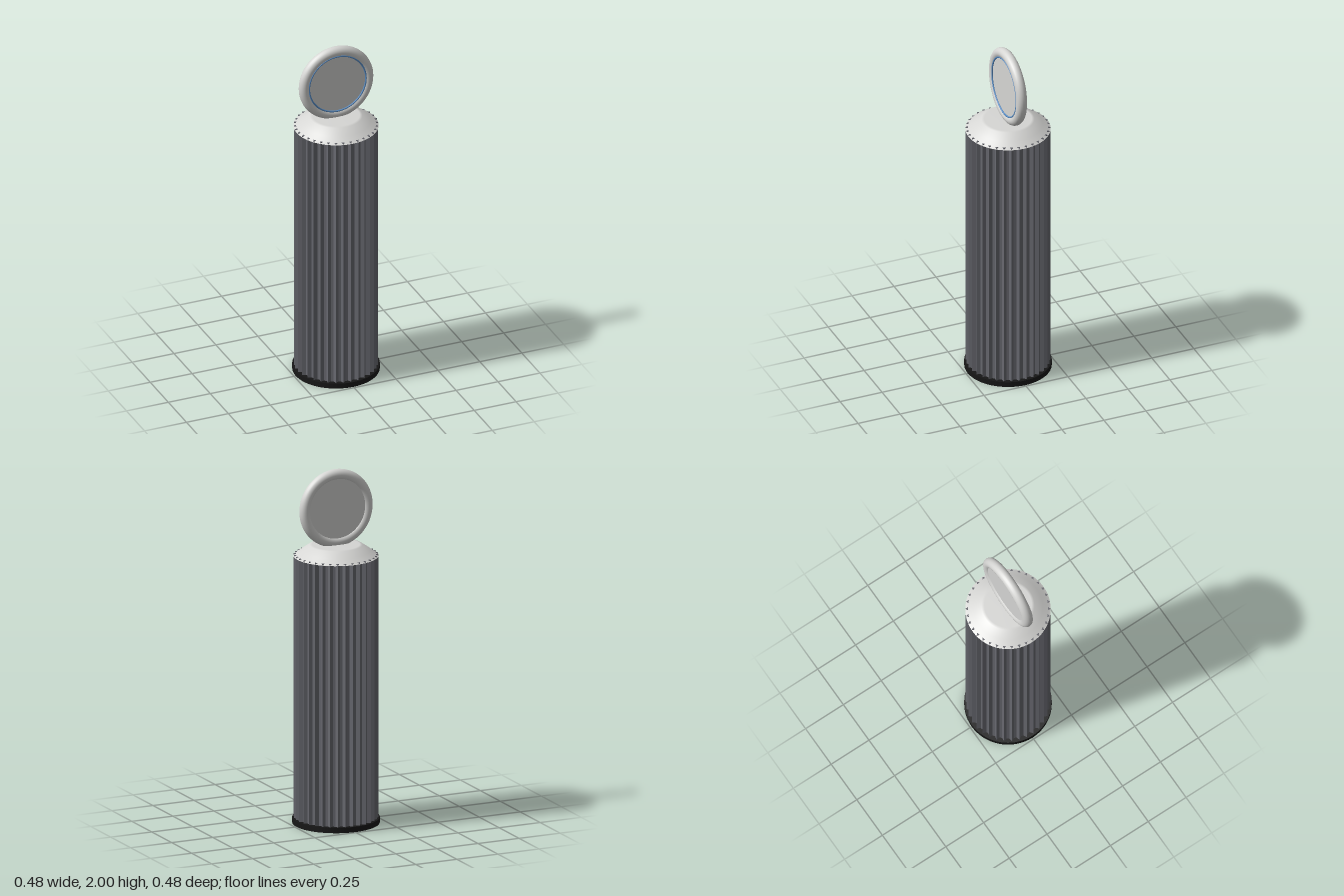
import * as THREE from 'three';

const mat = (name, color) => {
  const m = new THREE.MeshStandardMaterial({ color });
  m.name = name;
  return m;
};

export function createModel() {
  const group = new THREE.Group();
  const grey = mat('fluted grey', 0x686970);
  const silver = mat('pale silver', 0xd6d6d4);
  const black = mat('black rubber', 0x171717);
  const blue = mat('blue accent', 0x5a8fc8);

  const add = (name, geometry, material, x = 0, y = 0, z = 0) => {
    const mesh = new THREE.Mesh(geometry, material);
    mesh.name = name;
    mesh.position.set(x, y, z);
    group.add(mesh);
    return mesh;
  };

  // Foot disc
  add('foot', new THREE.CylinderGeometry(0.24, 0.24, 0.03, 64), black, 0, 0.015);

  // Fluted column: pointed ridges with flat valleys, extruded upwards
  const ridges = 34;
  const pitch = (Math.PI * 2) / ridges;
  const phase = Math.PI / 2 - 0.04;
  const outline = [];
  for (let i = 0; i < ridges; i++) {
    for (const [offset, r] of [[-0.32, 0.214], [0, 0.232], [0.32, 0.214]]) {
      const a = phase + (i + offset) * pitch;
      outline.push(new THREE.Vector2(Math.cos(a) * r, Math.sin(a) * r));
    }
  }
  const column = new THREE.ExtrudeGeometry(new THREE.Shape(outline), { depth: 1.49, bevelEnabled: false });
  column.rotateX(-Math.PI / 2);
  add('flutedColumn', column, grey, 0, 0.03);

  // Sloped cap with a flat top and closed underside
  const capProfile = [[0.234, 1.512], [0.22, 1.5195], [0.19, 1.542], [0.145, 1.572], [0.13, 1.575], [0, 1.576]]
    .map(([r, y]) => new THREE.Vector2(r, y));
  add('cap', new THREE.LatheGeometry(capProfile, 64), silver);
  const under = new THREE.CircleGeometry(0.234, 64);
  under.rotateX(Math.PI / 2);
  add('capUnderside', under, silver, 0, 1.512);

  // Upright round head: ring, face disc and thin accent ring on the front
  const headY = 1.78;
  add('headRing', new THREE.TorusGeometry(0.19, 0.03, 20, 72), silver, 0, headY);
  const disc = new THREE.CylinderGeometry(0.172, 0.172, 0.04, 64);
  disc.rotateX(Math.PI / 2);
  add('headDisc', disc, silver, 0, headY);
  add('accentRing', new THREE.TorusGeometry(0.169, 0.005, 8, 72), blue, 0, headY, 0.022);

  return group;
}
